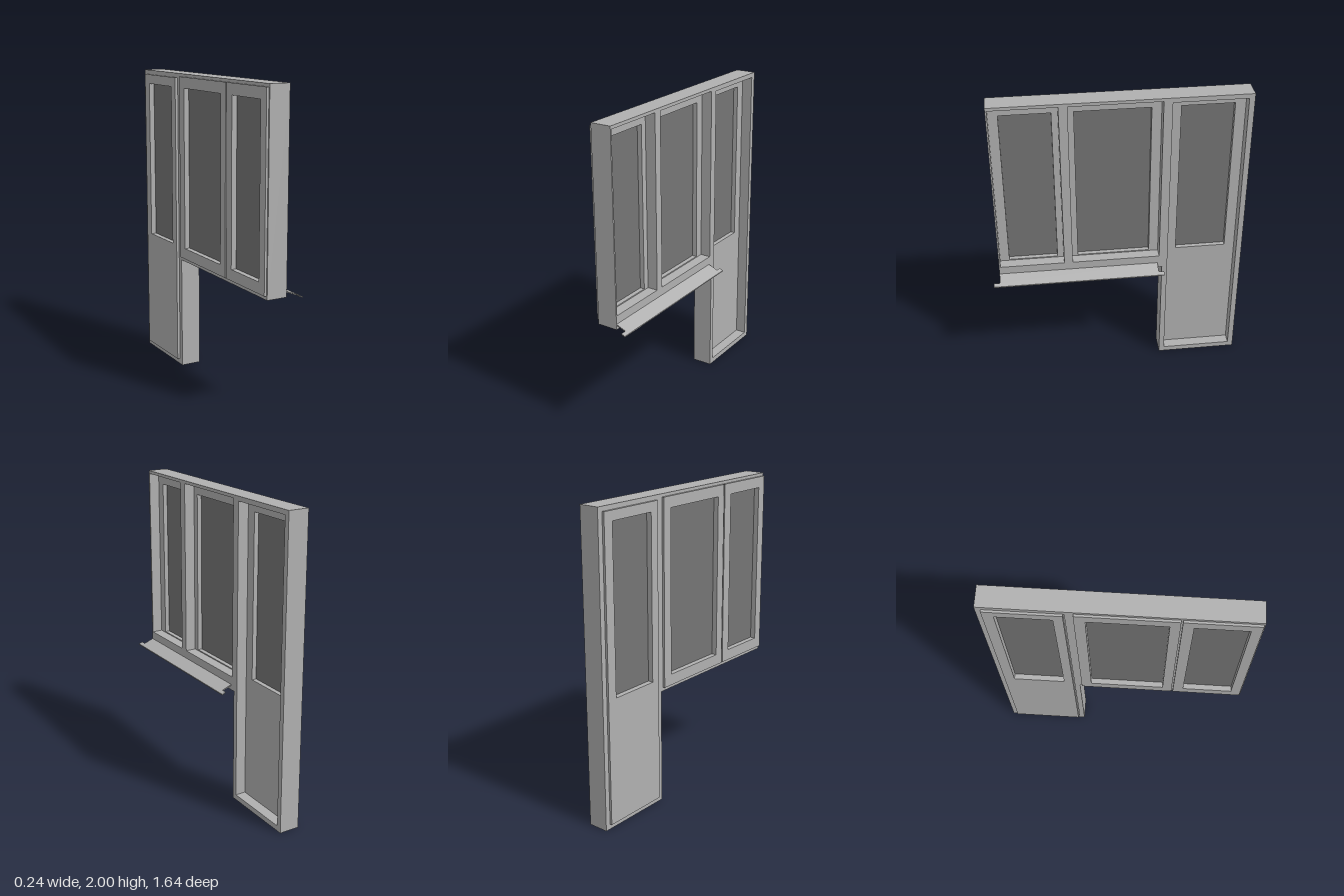
import * as THREE from 'three';

const paint = new THREE.MeshStandardMaterial({ color: 0xb0b0b0 });
paint.name = 'greyFrame';
const glassMat = new THREE.MeshStandardMaterial({ color: 0x747474 });
glassMat.name = 'darkGlass';

// Closed outline from [u, y] points
function trace(path, pts) {
  pts.forEach(([u, y], i) => (i ? path.lineTo(u, y) : path.moveTo(u, y)));
  path.closePath();
  return path;
}

const rect = ([u0, u1, y0, y1]) => [[u0, y0], [u1, y0], [u1, y1], [u0, y1]];

// Panel drawn in the wall plane (u = -z), running from x0 to x1 in depth
function panel(name, outline, holes, x0, x1, material = paint) {
  const shape = trace(new THREE.Shape(), outline);
  holes.forEach((h) => shape.holes.push(trace(new THREE.Path(), rect(h))));
  const geo = new THREE.ExtrudeGeometry(shape, { depth: x1 - x0, bevelEnabled: false });
  geo.rotateY(Math.PI / 2).translate(x0, 0, 0);
  const mesh = new THREE.Mesh(geo, material);
  mesh.name = name;
  return mesh;
}

// Sloping sheet with end points a and b, running from z0 to z1
function sheet(name, a, b, z0, z1) {
  const t = 0.007;
  const shape = trace(new THREE.Shape(), [[a[0], a[1] - t], [b[0], b[1] - t], b, a]);
  const geo = new THREE.ExtrudeGeometry(shape, { depth: z1 - z0, bevelEnabled: false });
  geo.translate(0, 0, z0);
  const mesh = new THREE.Mesh(geo, paint);
  mesh.name = name;
  return mesh;
}

export function createModel() {
  const group = new THREE.Group();
  group.name = 'balconyDoorAndWindow';

  // Outer frame: window on the left, full-height door on the right
  group.add(panel('outerFrame',
    [[-0.78, 0.755], [0.29, 0.755], [0.29, 0], [0.82, 0], [0.82, 2], [-0.78, 2]],
    [[-0.77, 0.27, 0.845, 1.98], [0.325, 0.785, 0.035, 1.97]],
    -0.105, 0.03));
  group.add(panel('mullion', rect([-0.355, -0.3, 0.845, 1.98]), [], -0.104, 0.03));

  // Sashes and door leaf, each with one pane
  const leaves = [
    ['narrowSash', [-0.771, -0.33, 0.78, 1.981], [-0.71, -0.395, 0.852, 1.91]],
    ['wideSash', [-0.32, 0.275, 0.78, 1.981], [-0.26, 0.21, 0.852, 1.91]],
    ['doorLeaf', [0.332, 0.786, 0.034, 1.971], [0.39, 0.72, 0.852, 1.91]],
  ];
  for (const [name, outer, pane] of leaves) {
    const leaf = new THREE.Group();
    leaf.name = name;
    leaf.add(panel(name + 'Frame', rect(outer), [pane], -0.12, -0.04));
    leaf.add(panel(name + 'Glass', rect(pane), [], -0.085, -0.07, glassMat));
    group.add(leaf);
  }
  // Closing strip between door leaf and jamb
  group.add(panel('doorStop', rect([0.324, 0.335, 0.034, 1.971]), [], -0.1, -0.04));

  // Drip sill with a wider outer edge
  const sill = new THREE.Group();
  sill.name = 'dripSill';
  sill.add(sheet('sillSlope', [0.028, 0.792], [0.095, 0.766], -0.26, 0.78));
  sill.add(sheet('sillEdge', [0.095, 0.766], [0.12, 0.756], -0.295, 0.82));
  group.add(sill);

  return group;
}
